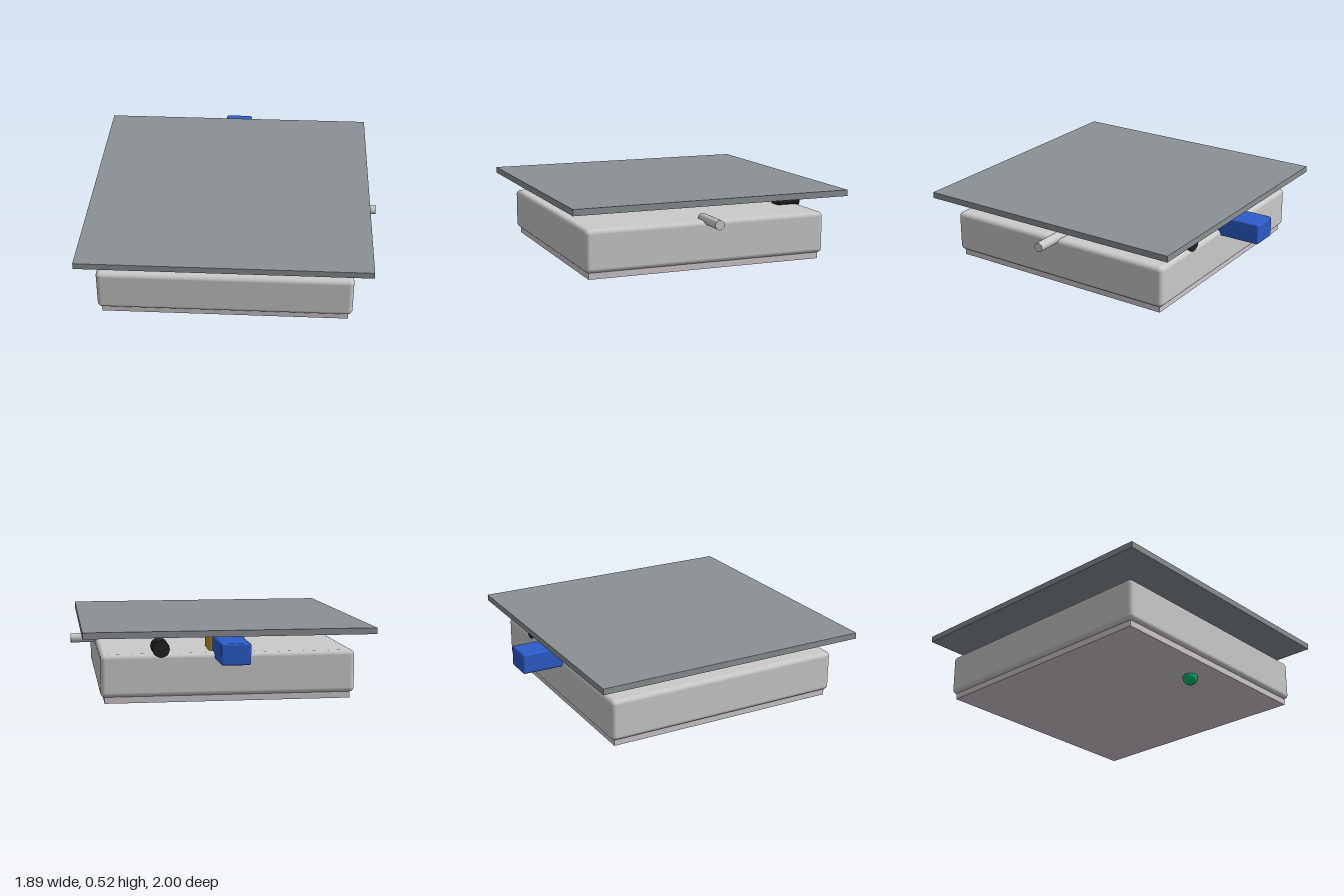
import * as THREE from 'three';
import { RoundedBoxGeometry } from 'three/addons/geometries/RoundedBoxGeometry.js';

function mat(name, color) {
  const m = new THREE.MeshStandardMaterial({ color });
  m.name = name;
  return m;
}

export function createModel() {
  const model = new THREE.Group();
  const sheetGrey = mat('sheet grey', 0x8a9093);
  const lightGrey = mat('light grey', 0xcacaca);
  const paleGrey = mat('pale grey', 0xcfc8cd);
  const gold = mat('gold', 0xb8942c);
  const blue = mat('blue', 0x2c5ccc);
  const black = mat('black', 0x222222);
  const green = mat('green', 0x10b068);

  const add = (name, geometry, material, x, y, z) => {
    const mesh = new THREE.Mesh(geometry, material);
    mesh.name = name;
    mesh.position.set(x, y, z);
    model.add(mesh);
    return mesh;
  };
  // Box from its extents on each axis, with optional rounded edges
  const box = (name, material, [x0, x1], [y0, y1], [z0, z1], radius = 0) => {
    const size = [x1 - x0, y1 - y0, z1 - z0];
    const geometry = radius
      ? new RoundedBoxGeometry(...size, 4, radius)
      : new THREE.BoxGeometry(...size);
    return add(name, geometry, material, (x0 + x1) / 2, (y0 + y1) / 2, (z0 + z1) / 2);
  };

  // Flat top sheet, rounded case and the plate beneath it
  box('topSheet', sheetGrey, [-0.945, 0.89], [0.485, 0.525], [-0.84, 1]);
  box('case', lightGrey, [-0.835, 0.78], [0.1, 0.37], [-0.73, 0.89], 0.03);
  box('basePlate', paleGrey, [-0.81, 0.755], [0.06, 0.105], [-0.705, 0.865]);

  // Blocks on the case towards the back
  box('goldBlock', gold, [-0.14, 0.085], [0.34, 0.476], [-0.63, -0.405], 0.014);
  box('rearConnector', blue, [-0.12, 0.065], [0.33, 0.466], [-1, -0.6], 0.014);

  // Round socket pointing backwards
  add('socket', new THREE.CylinderGeometry(0.054, 0.054, 0.16, 40), black, 0.402, 0.4, -0.65)
    .rotation.x = Math.PI / 2;

  // Thin rod sticking out of the left side
  add('sideRod', new THREE.CylinderGeometry(0.031, 0.031, 0.268, 32), lightGrey, 0.809, 0.372, 0.08)
    .rotation.z = Math.PI / 2;

  // Indicator bulb on the underside
  add('indicatorBulb', new THREE.SphereGeometry(0.049, 32, 20), green, -0.03, 0.049, 0.68);

  return model;
}
